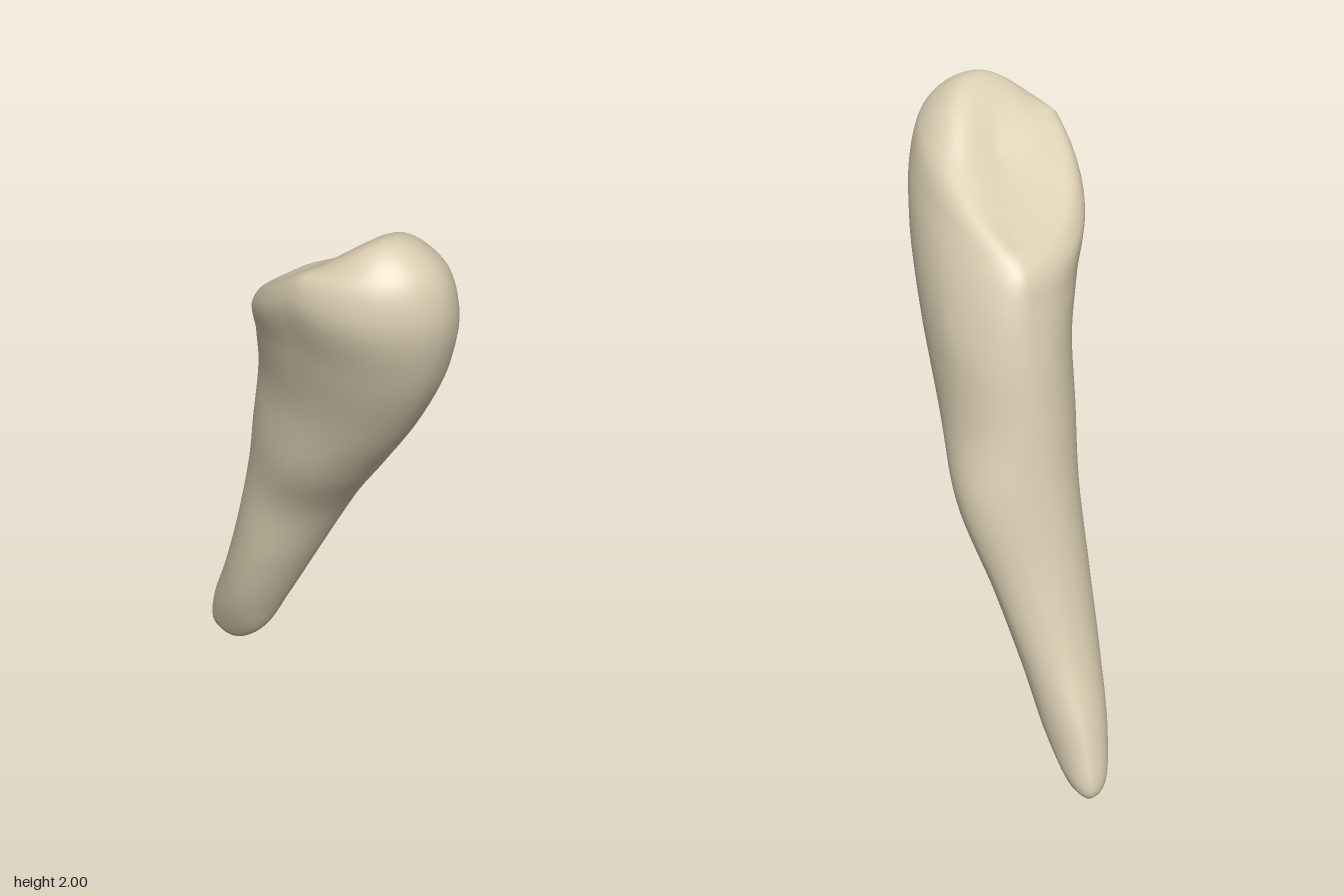
import * as THREE from 'three';
import { mergeVertices } from 'three/addons/utils/BufferGeometryUtils.js';

const TIP = [0.095, 0, -0.53];
const PIT = [-0.03, 1.82, 0.2];

// Four guide rails from the root tip, up the sides, over the rim into the crown's pit
const rail = (points) =>
  new THREE.CatmullRomCurve3([TIP, ...points, PIT].map((p) => new THREE.Vector3(...p)));

const front = rail([
  [0.07, 0.03, -0.44], [0.05, 0.16, -0.3], [0.05, 0.34, -0.2], [0.06, 0.58, -0.08],
  [0.07, 0.86, 0.06], [0.04, 1.1, 0.23], [0, 1.36, 0.41], [-0.03, 1.6, 0.535],
  [-0.045, 1.8, 0.578], [-0.06, 1.93, 0.535], [-0.09, 1.995, 0.41],
]);
const back = rail([
  [0.097, 0.05, -0.575], [0.09, 0.2, -0.535], [0.08, 0.45, -0.425], [0.08, 0.72, -0.335],
  [0.08, 0.95, -0.28], [0.08, 1.15, -0.245], [0.08, 1.35, -0.21], [0.08, 1.5, -0.175],
  [0.075, 1.59, -0.145], [0.07, 1.64, -0.1], [0.05, 1.675, -0.03],
]);
const right = rail([
  [0.03, 0.05, -0.5], [-0.025, 0.18, -0.42], [-0.07, 0.37, -0.3], [-0.09, 0.6, -0.2],
  [-0.1, 0.88, -0.1], [-0.145, 1.12, 0.05], [-0.175, 1.38, 0.16], [-0.235, 1.62, 0.22],
  [-0.288, 1.82, 0.265], [-0.265, 1.89, 0.27], [-0.2, 1.89, 0.26],
]);
const left = rail([
  [0.135, 0.05, -0.52], [0.155, 0.16, -0.43], [0.185, 0.4, -0.33], [0.225, 0.62, -0.24],
  [0.285, 0.9, -0.12], [0.265, 1.12, -0.03], [0.258, 1.4, 0.03], [0.235, 1.53, 0.08],
  [0.195, 1.67, 0.15], [0.145, 1.79, 0.2], [0.08, 1.82, 0.2],
]);

// Loft a ring of four quarter ellipses through the rails at each step
function loft(rings, sides) {
  const positions = [];
  const index = [];
  for (let j = 0; j <= rings; j++) {
    const [f, b, r, l] = [front, back, right, left].map((c) => c.getPoint(j / rings));
    for (let i = 0; i < sides; i++) {
      const a = (i / sides) * Math.PI * 2;
      const c = Math.cos(a);
      const s = Math.sin(a);
      const end = c > 0 ? f : b;
      const side = s > 0 ? l : r;
      positions.push(
        THREE.MathUtils.lerp(end.x, side.x, Math.abs(s)),
        THREE.MathUtils.lerp(side.y, end.y, Math.abs(c)),
        THREE.MathUtils.lerp(side.z, end.z, Math.abs(c)),
      );
      if (j === rings) continue;
      const n = (i + 1) % sides;
      const p0 = j * sides + i;
      const p1 = j * sides + n;
      index.push(p0, p1, p1 + sides, p0, p1 + sides, p0 + sides);
    }
  }
  const geometry = new THREE.BufferGeometry();
  geometry.setAttribute('position', new THREE.Float32BufferAttribute(positions, 3));
  geometry.setIndex(index);
  const welded = mergeVertices(geometry, 1e-5);
  welded.computeVertexNormals();
  return welded;
}

export function createModel() {
  const enamel = new THREE.MeshStandardMaterial({ color: 0xd8ccb0 });
  enamel.name = 'ivory';

  const tooth = new THREE.Mesh(loft(96, 64), enamel);
  tooth.name = 'tooth';

  const model = new THREE.Group();
  model.name = 'singleRootTooth';
  model.add(tooth);
  return model;
}
